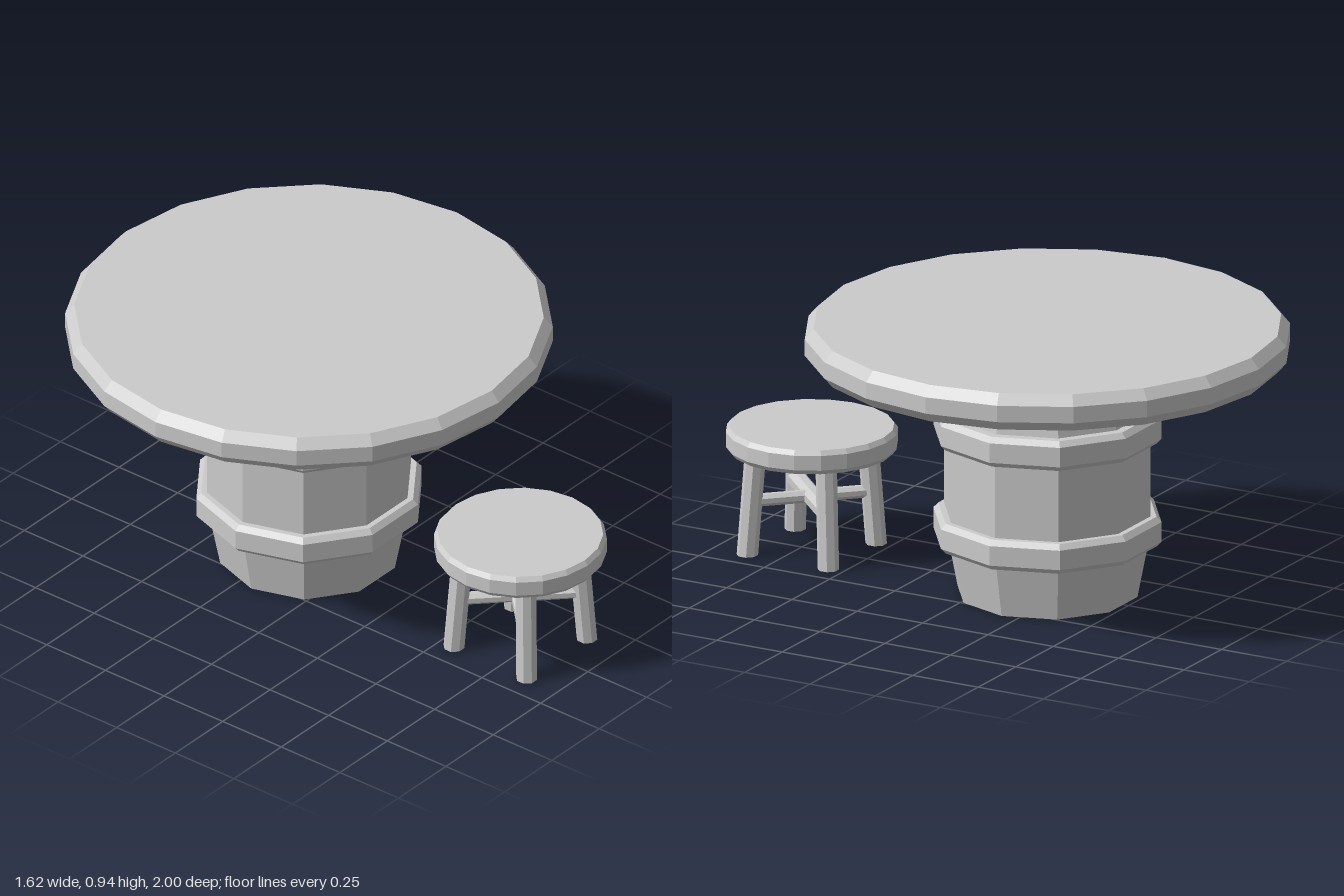
import * as THREE from 'three';

const material = new THREE.MeshStandardMaterial({ color: 0xcccccc, flatShading: true });

function addMesh(parent, name, geometry) {
  const mesh = new THREE.Mesh(geometry, material);
  mesh.name = name;
  parent.add(mesh);
  return mesh;
}

// Faceted turned shape from [radius, y] pairs running bottom to top
function turned(profile, sides, turn = 0) {
  const points = profile.map(([r, y]) => new THREE.Vector2(r, y));
  return new THREE.LatheGeometry(points, sides, turn);
}

// Round slab with bevelled rims
function slab(radius, bottom, top, inset, bevel, sides) {
  return turned([
    [0, bottom], [radius - inset, bottom], [radius, bottom + bevel],
    [radius, top - bevel], [radius - inset, top], [0, top],
  ], sides);
}

// Leg leaning between two points, with level ends
function leaningLeg(bottom, top, radius) {
  const height = top.y - bottom.y;
  const g = new THREE.CylinderGeometry(radius, radius, height, 8);
  g.rotateY(Math.PI / 8);
  const p = g.attributes.position;
  for (let i = 0; i < p.count; i++) {
    const t = p.getY(i) / height + 0.5;
    p.setXYZ(i,
      p.getX(i) + bottom.x + (top.x - bottom.x) * t,
      bottom.y + height * t,
      p.getZ(i) + bottom.z + (top.z - bottom.z) * t);
  }
  g.computeVertexNormals();
  return g;
}

function createTable() {
  const table = new THREE.Group();
  table.name = 'barrelTable';
  const barrelTurn = Math.PI / 2;

  addMesh(table, 'tableTop', slab(0.81, 0.815, 0.942, 0.03, 0.035, 20));

  // Barrel pedestal
  addMesh(table, 'barrel', turned([
    [0, 0], [0.305, 0], [0.35, 0.23], [0.35, 0.595], [0.305, 0.82], [0, 0.82],
  ], 10, barrelTurn));

  // Hoops around the barrel
  for (const [name, y] of [['lowerHoop', 0.233], ['upperHoop', 0.592]]) {
    addMesh(table, name, turned([
      [0.33, y - 0.052], [0.37, y - 0.052], [0.387, y - 0.034],
      [0.387, y + 0.034], [0.37, y + 0.052], [0.33, y + 0.052],
    ], 10, barrelTurn));
  }
  return table;
}

function createStool() {
  const stool = new THREE.Group();
  stool.name = 'stool';

  addMesh(stool, 'seat', slab(0.287, 0.35, 0.433, 0.012, 0.016, 20));

  // Four splayed legs
  for (const sx of [-1, 1]) {
    for (const sz of [-1, 1]) {
      addMesh(stool, 'leg', leaningLeg(
        new THREE.Vector3(sx * 0.159, 0, sz * 0.155),
        new THREE.Vector3(sx * 0.139, 0.36, sz * 0.135), 0.036));
    }
  }

  // Crossed stretchers joining opposite legs
  for (const [name, radius, angle] of [
    ['thickStretcher', 0.033, Math.PI / 4],
    ['thinStretcher', 0.022, -Math.PI / 4],
  ]) {
    const g = new THREE.CylinderGeometry(radius, radius, 0.42, 8);
    g.rotateY(Math.PI / 8);
    g.rotateZ(Math.PI / 2);
    g.rotateY(angle);
    addMesh(stool, name, g).position.y = 0.186;
  }
  return stool;
}

export function createModel() {
  const model = new THREE.Group();
  model.name = 'tableAndStool';
  const table = createTable();
  table.position.z = -0.19;
  const stool = createStool();
  stool.position.z = 0.712;
  model.add(table, stool);
  return model;
}
